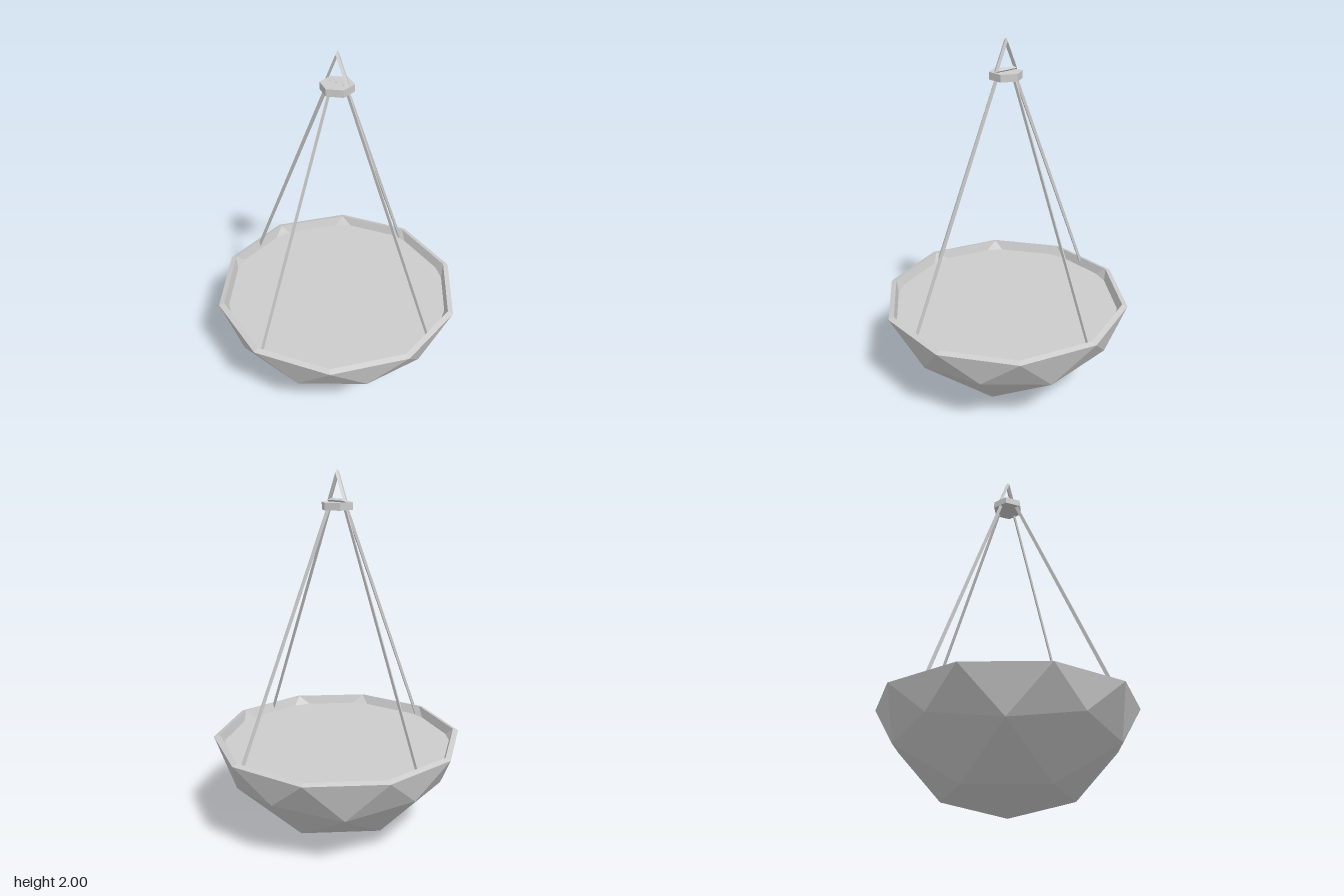
import * as THREE from 'three';

const V = (x, y, z) => new THREE.Vector3(x, y, z);
const STEP = Math.PI / 5;

// Rings of a faceted half sphere: pole, 5-point ring, 10-point ring, 10-point rim
function shellRings(inset, lift, rimRadius, rimY) {
  const R = 0.69;
  const polar = (r, y, i) => V(r * Math.cos(i * STEP), y, r * Math.sin(i * STEP));
  const ring = (fn) => Array.from({ length: 10 }, (_, i) => fn(i));
  return {
    pole: V(0, lift * 2, 0),
    low: ring((i) => polar(0.5257 * R - inset, 0.1493 * R + lift * 1.5, i)), // odd entries only
    mid: ring((i) => (i % 2
      ? polar(0.8944 * R - inset, 0.5528 * R + lift, i)
      : polar(0.8507 * R - inset, 0.4743 * R + lift, i))),
    rim: ring((i) => polar(rimRadius, rimY, i + 0.5)),
  };
}

function shellFaces({ pole, low, mid, rim }) {
  const faces = [];
  for (let i = 0; i < 10; i++) {
    const n = (i + 1) % 10, n2 = (i + 2) % 10, p = (i + 9) % 10;
    if (i % 2) {
      faces.push([pole, low[i], low[n2]], [low[i], mid[p], mid[i]],
        [low[i], mid[i], mid[n]], [low[i], mid[n], low[n2]]);
    }
    faces.push([mid[i], rim[i], mid[n]], [mid[i], rim[p], rim[i]]);
  }
  return faces;
}

function meshFromFaces(name, faces, material) {
  const geometry = new THREE.BufferGeometry().setFromPoints(faces.flat());
  geometry.computeVertexNormals();
  const mesh = new THREE.Mesh(geometry, material);
  mesh.name = name;
  return mesh;
}

export function createModel() {
  const group = new THREE.Group();
  group.name = 'hangingBowl';
  const material = new THREE.MeshStandardMaterial({ color: 0xcccccc, flatShading: true });
  const add = (name, geometry, y) => {
    const mesh = new THREE.Mesh(geometry, material);
    mesh.name = name;
    mesh.position.y = y;
    group.add(mesh);
    return mesh;
  };

  // Bowl: outer shell, reversed inner shell and the sloping rim between them
  const outer = shellRings(0, 0, 0.69, 0.557);
  const inner = shellRings(0.028, 0.015, 0.66, 0.567);
  const faces = shellFaces(outer);
  // the pole cap winds the other way round from the bands above it
  const fixWinding = (list, sign) => list.map(([a, b, c]) => {
    const normal = b.clone().sub(a).cross(c.clone().sub(a));
    const out = a.clone().add(b).add(c).divideScalar(3).sub(V(0, 0.6, 0));
    return normal.dot(out) * sign > 0 ? [a, b, c] : [a, c, b];
  });
  const rimFaces = [];
  for (let i = 0; i < 10; i++) {
    const n = (i + 1) % 10;
    rimFaces.push([outer.rim[i], inner.rim[i], inner.rim[n]], [outer.rim[i], inner.rim[n], outer.rim[n]]);
  }
  group.add(meshFromFaces('bowl',
    [...fixWinding(faces, 1), ...fixWinding(shellFaces(inner), -1), ...rimFaces], material));

  // Soil: flat slice through the inner shell
  const soilY = 0.515;
  const edge = [];
  for (let i = 0; i < 10; i++) {
    for (const m of [inner.mid[i], inner.mid[(i + 1) % 10]]) {
      const top = inner.rim[i];
      edge.push(top.clone().lerp(m, (top.y - soilY) / (top.y - m.y)));
    }
  }
  group.add(meshFromFaces('soil',
    edge.map((p, i) => [V(0, soilY, 0), edge[(i + 1) % edge.length], p]), material));

  // Four flat straps from the bowl to the cap
  const top = V(0.057, 1.815, 0), bottom = V(0.632, 0.53, 0);
  const length = top.distanceTo(bottom);
  for (let i = 0; i < 4; i++) {
    const strap = new THREE.BoxGeometry(0.018, length, 0.006);
    strap.rotateZ(Math.atan2(bottom.x - top.x, top.y - bottom.y));
    strap.translate((top.x + bottom.x) / 2, (top.y + bottom.y) / 2, 0);
    strap.rotateY(i * Math.PI / 2);
    add('strap', strap, 0);
  }

  // Hexagonal cap
  add('cap', new THREE.CylinderGeometry(0.086, 0.086, 0.038, 6), 1.816);

  // Triangular hanging loop
  const loop = new THREE.TorusGeometry(0.0726, 0.014, 4, 3);
  loop.rotateZ(Math.PI / 2);
  loop.scale(1, 1.27, 1);
  add('hangingLoop', loop, 1.89);

  return group;
}
